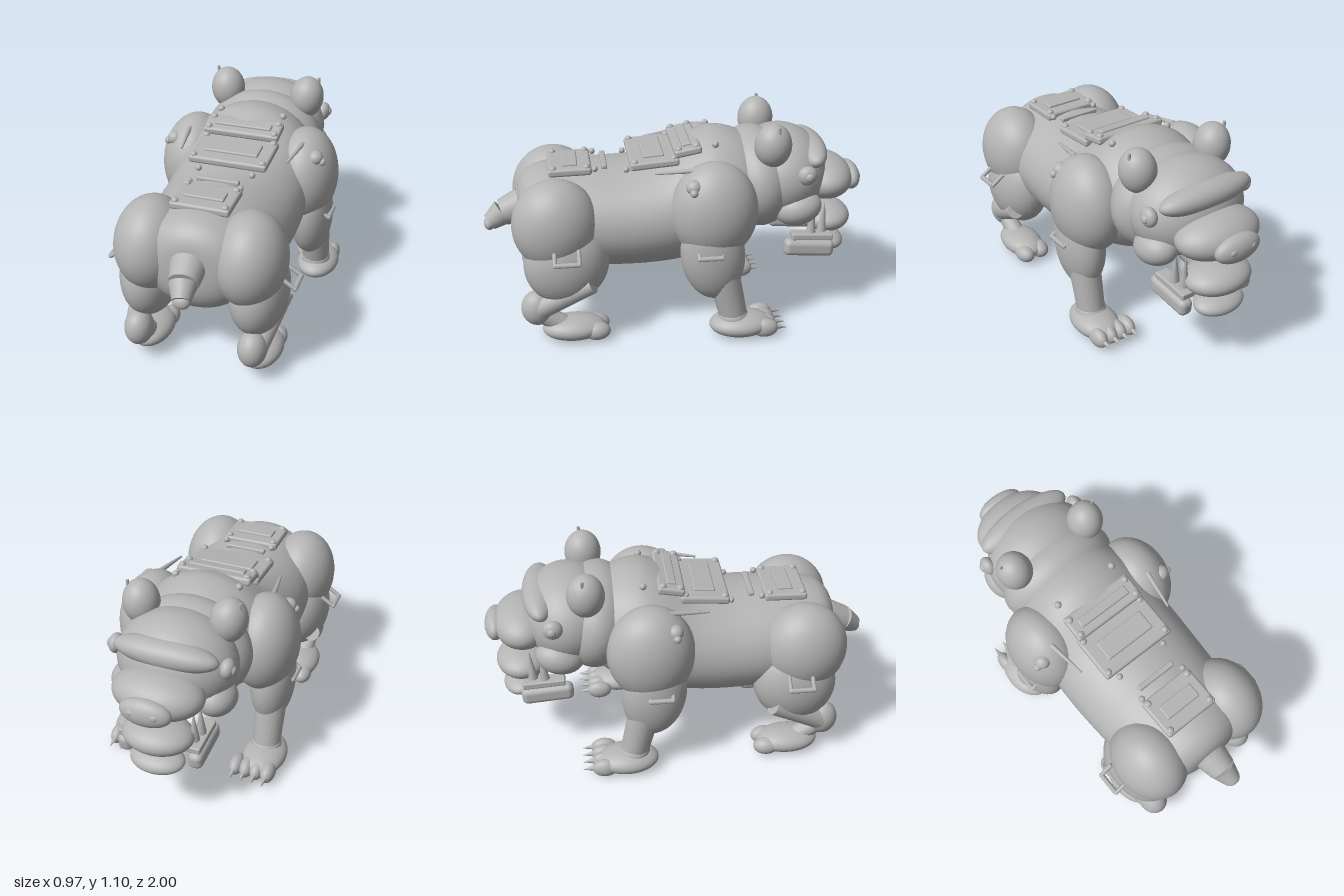
import * as THREE from 'three';
import { RoundedBoxGeometry } from 'three/addons/geometries/RoundedBoxGeometry.js';

const grey = new THREE.MeshStandardMaterial({ color: 0xb4b4b4 });
grey.name = 'grey';
const V = (x, y, z) => new THREE.Vector3(x, y, z);

function add(parent, name, geometry) {
  const mesh = new THREE.Mesh(geometry, grey);
  mesh.name = name;
  parent.add(mesh);
  return mesh;
}

// Ellipsoid with centre c, radii r and a pitch about x
function blob(parent, name, c, r, pitch = 0) {
  const mesh = add(parent, name, new THREE.SphereGeometry(1, 36, 24));
  mesh.position.set(...c);
  mesh.scale.set(...r);
  mesh.rotation.x = pitch;
  return mesh;
}

// Tapered rod from a (radius ra) to b (radius rb)
function rod(parent, name, a, b, ra, rb = ra, sides = 20) {
  const p = V(...a), q = V(...b), d = q.clone().sub(p);
  const mesh = add(parent, name, new THREE.CylinderGeometry(rb, ra, d.length(), sides));
  mesh.position.copy(p).add(q).multiplyScalar(0.5);
  mesh.quaternion.setFromUnitVectors(V(0, 1, 0), d.normalize());
  return mesh;
}

function box(parent, name, c, size, pitch = 0, radius = 0.008) {
  const mesh = add(parent, name, new RoundedBoxGeometry(...size, 3, radius));
  mesh.position.set(...c);
  mesh.rotation.x = pitch;
  return mesh;
}

// Lofted body: sections of [z, bottom, top, halfWidth], from rear to front
function loft(sections) {
  const steps = 40;
  const rings = new THREE.CatmullRomCurve3(sections.map(([z, lo, hi]) => V(z, lo, hi)));
  const widths = new THREE.CatmullRomCurve3(sections.map(([z, , , w]) => V(z, w, 0)));
  const g = new THREE.CylinderGeometry(1, 1, 1, 40, steps, true).rotateX(Math.PI / 2);
  const p = g.attributes.position;
  for (let i = 0; i < p.count; i++) {
    const t = Math.min(1, Math.max(0, 0.5 - p.getZ(i)));
    const s = rings.getPoint(t), w = widths.getPoint(t).y;
    p.setXYZ(i, p.getX(i) * w, (s.y + s.z) / 2 + p.getY(i) * (s.z - s.y) / 2, s.x);
  }
  g.computeVertexNormals();
  return g;
}

// Square-cornered staple handle standing out sideways
function handle(parent, name, z0, z1, inner, outer) {
  const r = 0.011, [xi, yi] = inner, [xo, yo] = outer;
  for (const z of [z0, z1]) {
    rod(parent, name + 'Arm', [xi, yi, z], [xo, yo, z], r, r, 8);
    blob(parent, name + 'Corner', [xo, yo, z], [r, r, r]);
  }
  rod(parent, name + 'Bar', [xo, yo, z0], [xo, yo, z1], r * 1.2, r * 1.2, 8);
}

// All paired parts of one side, built at +x
function buildSide() {
  const s = new THREE.Group();
  // Fore leg
  blob(s, 'shoulder', [0.305, 0.69, -0.165], [0.176, 0.26, 0.225]);
  blob(s, 'upperForeleg', [0.35, 0.47, -0.155], [0.115, 0.25, 0.165], 0.12);
  rod(s, 'forearm', [0.36, 0.4, -0.2], [0.362, 0.1, -0.27], 0.085, 0.072);
  blob(s, 'wrist', [0.362, 0.115, -0.265], [0.08, 0.055, 0.08]);
  blob(s, 'frontPaw', [0.368, 0.07, -0.305], [0.114, 0.065, 0.165]);
  for (const x of [0.255, 0.312, 0.368, 0.427]) {
    blob(s, 'frontToe', [x, 0.06, -0.425], [0.038, 0.05, 0.068]);
    rod(s, 'frontClaw', [x, 0.065, -0.46], [x, 0.056, -0.54], 0.02, 0.001, 10);
  }
  // Hind leg
  blob(s, 'hip', [0.25, 0.635, 0.63], [0.182, 0.24, 0.222]);
  blob(s, 'thigh', [0.28, 0.44, 0.585], [0.148, 0.23, 0.215], -0.45);
  rod(s, 'shank', [0.375, 0.35, 0.46], [0.31, 0.2, 0.73], 0.045, 0.06);
  blob(s, 'hock', [0.295, 0.195, 0.745], [0.073, 0.095, 0.083]);
  const bend = new THREE.CatmullRomCurve3([V(0.295, 0.18, 0.75), V(0.295, 0.135, 0.69), V(0.295, 0.08, 0.6)]);
  add(s, 'hindAnkle', new THREE.TubeGeometry(bend, 16, 0.05, 16));
  blob(s, 'hindPaw', [0.295, 0.07, 0.56], [0.104, 0.064, 0.165]);
  for (const x of [0.25, 0.34]) blob(s, 'hindToe', [x, 0.06, 0.445], [0.05, 0.048, 0.07]);
  // Head
  const ear = blob(s, 'ear', [0.225, 0.995, -0.475], [0.092, 0.115, 0.095]);
  ear.rotation.z = -0.1;
  rod(s, 'earPin', [0.283, 1.04, -0.49], [0.287, 1.108, -0.49], 0.008, 0.008, 8);
  blob(s, 'cheek', [0.22, 0.645, -0.62], [0.1, 0.09, 0.125], 0.2);
  blob(s, 'eye', [0.285, 0.845, -0.645], [0.036, 0.05, 0.05]);
  blob(s, 'pupil', [0.315, 0.845, -0.65], [0.014, 0.022, 0.022]);
  blob(s, 'nostril', [0.055, 0.74, -0.985], [0.022, 0.018, 0.012]);
  for (const [x, z] of [[0.175, -0.72], [0.165, -0.78]]) {
    rod(s, 'tusk', [x, 0.48, z + 0.01], [x, 0.64, z], 0.026, 0.002, 12);
  }
  // Jaw brace
  box(s, 'jawBracePlate', [0.175, 0.46, -0.715], [0.075, 0.035, 0.22], -0.06);
  box(s, 'jawBraceBlock', [0.185, 0.395, -0.7], [0.075, 0.09, 0.27], -0.08, 0.03);
  // Shoulder fittings and handles
  blob(s, 'shoulderKnob', [0.385, 0.855, -0.05], [0.04, 0.038, 0.04]);
  blob(s, 'shoulderStud', [0.422, 0.838, -0.045], [0.02, 0.02, 0.02]);
  rod(s, 'shoulderSpike', [0.31, 0.915, -0.07], [0.28, 0.895, 0.13], 0.014, 0.006, 10);
  handle(s, 'hipHandle', 0.525, 0.645, [0.405, 0.56], [0.473, 0.515]);
  handle(s, 'forelegHandle', -0.185, -0.07, [0.42, 0.53], [0.465, 0.5]);
  return s;
}

// Riveted armour plate with a raised inner panel
function armour(parent, name, c, w, d, pitch, inner) {
  const g = new THREE.Group();
  g.name = name;
  g.position.set(...c);
  g.rotation.x = pitch;
  parent.add(g);
  box(g, name + 'Sheet', [0, 0, 0], [w, 0.04, d], 0, 0.014);
  box(g, name + 'Panel', [0, 0.022, 0], [inner[0], 0.02, inner[1]], 0, 0.008);
  for (const x of [-1, 1]) for (const z of [-1, 1]) {
    blob(g, name + 'Rivet', [x * (w / 2 - 0.025), 0.02, z * (d / 2 - 0.025)], [0.018, 0.015, 0.018]);
  }
}

export function createModel() {
  const model = new THREE.Group();
  model.name = 'armouredBear';

  // Trunk and tail
  add(model, 'torso', loft([
    [0.825, 0.6, 0.68, 0.02], [0.805, 0.46, 0.79, 0.17], [0.73, 0.37, 0.855, 0.27], [0.5, 0.33, 0.875, 0.34],
    [0.25, 0.32, 0.88, 0.362], [0.06, 0.325, 0.92, 0.365], [-0.1, 0.345, 1.0, 0.36], [-0.2, 0.37, 1.03, 0.35],
    [-0.34, 0.43, 1.0, 0.31], [-0.48, 0.56, 0.9, 0.2], [-0.52, 0.68, 0.76, 0.02],
  ]));
  blob(model, 'tailBase', [0, 0.65, 0.8], [0.092, 0.085, 0.07]);
  rod(model, 'tailRoot', [0, 0.65, 0.8], [0.01, 0.615, 0.9], 0.09, 0.072);
  rod(model, 'tail', [0.01, 0.615, 0.9], [0.025, 0.568, 0.97], 0.07, 0.045);
  blob(model, 'tailTip', [0.025, 0.565, 0.97], [0.043, 0.037, 0.03]);

  // Neck, skull and muzzle
  blob(model, 'neck', [0, 0.755, -0.43], [0.325, 0.265, 0.2], 0.15);
  blob(model, 'skull', [0, 0.78, -0.565], [0.305, 0.245, 0.245]);
  blob(model, 'brow', [0, 0.9, -0.705], [0.265, 0.075, 0.092], 0.3);
  blob(model, 'muzzle', [0, 0.74, -0.8], [0.23, 0.115, 0.155]);
  blob(model, 'nose', [0, 0.73, -0.945], [0.13, 0.072, 0.055]);

  // Open mouth
  blob(model, 'lowerJaw', [0, 0.51, -0.82], [0.18, 0.08, 0.14]);
  blob(model, 'chin', [0, 0.37, -0.84], [0.14, 0.052, 0.095], -0.15);
  rod(model, 'throat', [0, 0.6, -0.55], [0, 0.5, -0.78], 0.1, 0.06);

  // Back armour
  armour(model, 'frontArmour', [0, 0.967, -0.05], 0.4, 0.14, 0.18, [0.3, 0.05]);
  armour(model, 'middleArmour', [0, 0.91, 0.12], 0.41, 0.25, 0.08, [0.28, 0.11]);
  armour(model, 'rearArmour', [0, 0.868, 0.545], 0.3, 0.22, 0.02, [0.2, 0.08]);
  box(model, 'spineRidge', [0, 0.876, 0.37], [0.22, 0.025, 0.03]);
  for (const x of [-1, 1]) {
    blob(model, 'looseRivet', [x * 0.17, 0.995, -0.19], [0.018, 0.018, 0.018]);
    blob(model, 'looseRivet', [x * 0.14, 0.87, 0.26], [0.016, 0.016, 0.016]);
    blob(model, 'looseRivet', [x * 0.13, 0.878, 0.42], [0.016, 0.016, 0.016]);
  }

  // Paired parts, the right side mirrored
  const left = buildSide(), right = buildSide();
  left.name = 'leftSide';
  right.name = 'rightSide';
  right.scale.x = -1;
  model.add(left, right);
  return model;
}
